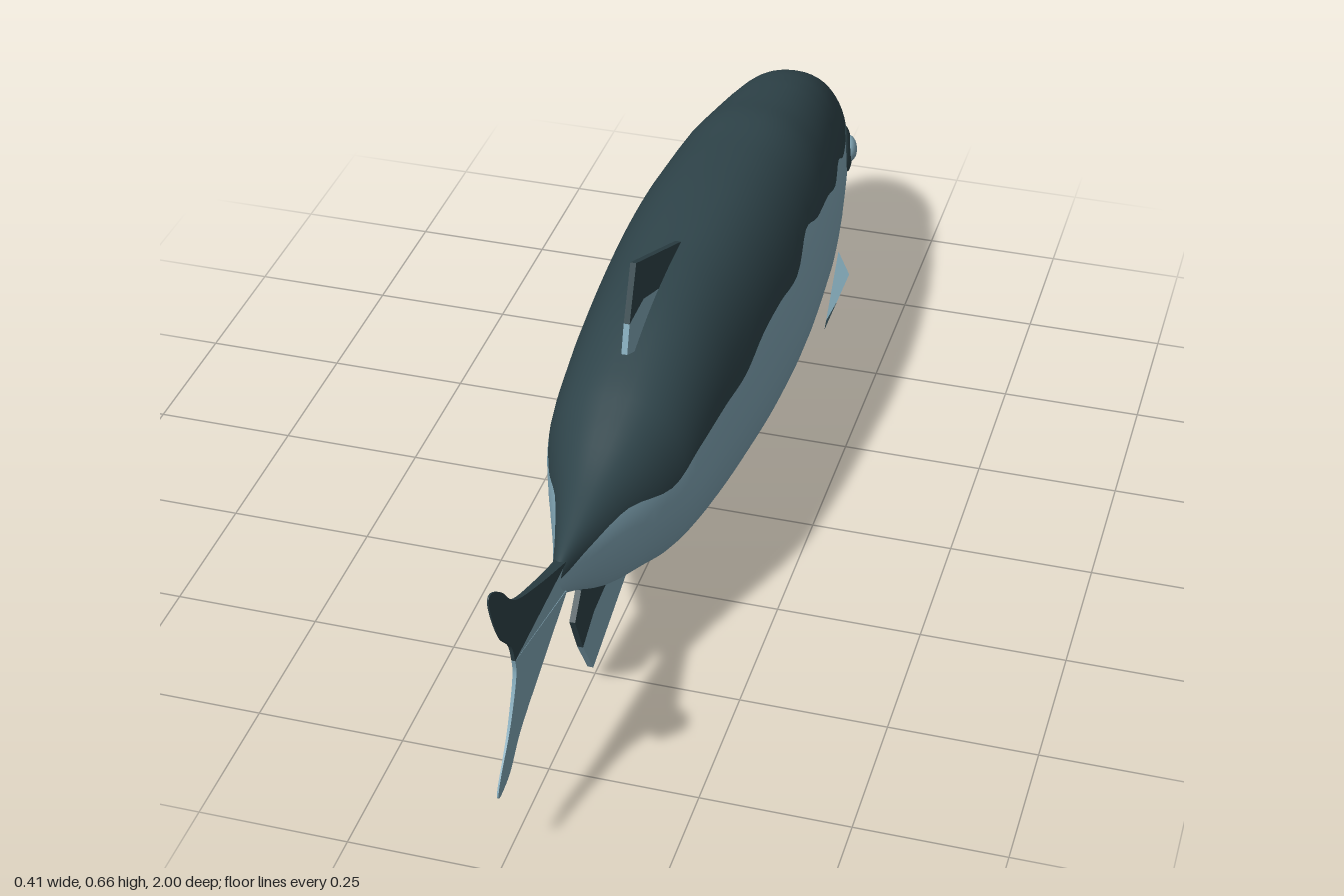
import * as THREE from 'three';

const slate = new THREE.MeshStandardMaterial({ color: 0x2f444a });
slate.name = 'dark slate back';
const silver = new THREE.MeshStandardMaterial({ color: 0x85abbb });
silver.name = 'silver blue belly';
const slateThin = slate.clone();
const silverThin = silver.clone();
slateThin.side = silverThin.side = THREE.DoubleSide;

// Body stations from nose to tail: z, top, bottom, half width, height of colour line
const STATIONS = [
  [-1, 0.25, 0.24, 0, 0.5], [-0.99, 0.29, 0.2, 0.035, 0.5], [-0.965, 0.33, 0.16, 0.062, 0.4],
  [-0.93, 0.365, 0.13, 0.08, 0.347], [-0.85, 0.435, 0.083, 0.103, 0.337], [-0.77, 0.478, 0.055, 0.12, 0.34],
  [-0.7, 0.5, 0.03, 0.132, 0.348], [-0.64, 0.513, 0.014, 0.142, 0.375], [-0.56, 0.528, 0.007, 0.153, 0.368],
  [-0.48, 0.543, 0.004, 0.161, 0.392], [-0.38, 0.549, 0.004, 0.168, 0.405], [-0.3, 0.554, 0.005, 0.172, 0.427],
  [-0.2, 0.558, 0.008, 0.172, 0.392], [-0.1, 0.557, 0.015, 0.168, 0.398], [0, 0.552, 0.028, 0.162, 0.394],
  [0.1, 0.545, 0.042, 0.154, 0.373], [0.2, 0.528, 0.066, 0.146, 0.374], [0.32, 0.49, 0.108, 0.133, 0.365],
  [0.4, 0.457, 0.143, 0.108, 0.338], [0.5, 0.414, 0.188, 0.07, 0.36], [0.6, 0.384, 0.255, 0.034, 0.352],
  [0.67, 0.365, 0.3, 0.013, 0.345], [0.71, 0.345, 0.325, 0.002, 0.345],
];

// Lofted body whose rings follow the wavy colour line
function bodyGeometry() {
  const steps = (STATIONS.length - 1) * 4, upper = 20, lower = 24, n = upper + lower;
  const tracks = [1, 2, 3, 4].map(k => new THREE.SplineCurve(STATIONS.map(s => new THREE.Vector2(s[0], s[k]))));
  const pos = [], dark = [], light = [];
  for (let i = 0; i <= steps; i++) {
    const p = tracks.map(t => t.getPoint(i / steps));
    const [top, bottom, width, line] = p.map(v => v.y);
    const mid = (top + bottom) / 2, h = (top - bottom) / 2;
    const rise = THREE.MathUtils.clamp((line - mid) / h, 0, 1);
    const a0 = Math.asin(Math.pow(rise, 1.15));
    for (let j = 0; j < n; j++) {
      const a = j < upper
        ? a0 + (Math.PI - 2 * a0) * j / upper
        : Math.PI - a0 + (Math.PI + 2 * a0) * (j - upper) / lower;
      const c = Math.cos(a), s = Math.sin(a), e = s > 0 ? 1 / 1.15 : 1 / 0.92;
      pos.push(Math.max(width, 0) * Math.sign(c) * Math.abs(c) ** e, mid + h * Math.sign(s) * Math.abs(s) ** e, p[0].x);
    }
  }
  for (let i = 0; i < steps; i++) {
    for (let j = 0; j < n; j++) {
      const a = i * n + j, b = i * n + (j + 1) % n;
      (j < upper ? dark : light).push(a, b, a + n, b, b + n, a + n);
    }
  }
  const g = new THREE.BufferGeometry();
  g.setAttribute('position', new THREE.Float32BufferAttribute(pos, 3));
  g.setIndex([...dark, ...light]);
  g.addGroup(0, dark.length, 0);
  g.addGroup(dark.length, light.length, 1);
  g.computeVertexNormals();
  return g;
}

// Thin upright fin from a (z, y) outline, tapering towards z = thinAt
function fin(name, points, material, { smooth = false, thick = 0.01, thinAt = 1.2 } = {}) {
  const v = points.map(p => new THREE.Vector2(...p));
  const shape = new THREE.Shape();
  if (smooth) shape.moveTo(v[0].x, v[0].y).splineThru(v.slice(1));
  else shape.setFromPoints(v);
  const g = new THREE.ExtrudeGeometry(shape, { depth: thick, bevelEnabled: false, curveSegments: 30 });
  g.translate(0, 0, -thick / 2).rotateY(-Math.PI / 2);
  const p = g.attributes.position;
  for (let i = 0; i < p.count; i++) {
    p.setX(i, p.getX(i) * THREE.MathUtils.clamp((thinAt - p.getZ(i)) / 0.35, 0.15, 1));
  }
  g.computeVertexNormals();
  const mesh = new THREE.Mesh(g, material);
  mesh.name = name;
  return mesh;
}

// Flat sheet fanned from its first corner
function sheet(name, corners, material) {
  const g = new THREE.BufferGeometry().setFromPoints(corners);
  const idx = [];
  for (let i = 1; i < corners.length - 1; i++) idx.push(0, i, i + 1);
  g.setIndex(idx);
  g.computeVertexNormals();
  const mesh = new THREE.Mesh(g, material);
  mesh.name = name;
  return mesh;
}

export function createModel() {
  const fish = new THREE.Group();
  fish.name = 'fish';

  const body = new THREE.Mesh(bodyGeometry(), [slate, silver]);
  body.name = 'body';
  fish.add(body);

  // Forked tail, split at the colour line
  const tail = { smooth: true, thick: 0.018, thinAt: 1.02 };
  fish.add(
    fin('upperTailLobe', [[0.66, 0.36], [0.78, 0.405], [0.89, 0.455], [0.945, 0.51], [0.985, 0.538], [1, 0.532],
      [0.985, 0.485], [0.955, 0.43], [0.915, 0.385], [0.9, 0.345]], slate, tail),
    fin('lowerTailLobe', [[0.9, 0.345], [0.897, 0.32], [0.908, 0.285], [0.937, 0.23], [0.985, 0.17], [0.988, 0.146],
      [0.94, 0.155], [0.885, 0.2], [0.78, 0.25], [0.66, 0.305]], silver, tail),
    fin('tailRoot', [[0.66, 0.305], [0.66, 0.36], [0.9, 0.345]], silver, { thick: 0.016, thinAt: 1.02 }),
  );

  // Back fin and belly fin, each in two colours
  fish.add(
    fin('backFin', [[-0.02, 0.545], [0.26, 0.668], [0.3, 0.575], [0.22, 0.575], [0.13, 0.54], [0.1, 0.5]], slate),
    fin('backFinBase', [[0.315, 0.525], [0.3, 0.575], [0.22, 0.575], [0.13, 0.54], [0.1, 0.5], [0.24, 0.49]], silver),
    fin('bellyFinBase', [[0.615, 0.2], [0.577, 0.12], [0.515, 0.148], [0.44, 0.155], [0.4, 0.22], [0.58, 0.24]], slate),
    fin('bellyFin', [[0.577, 0.12], [0.525, 0.037], [0.3, 0.1], [0.25, 0.13], [0.4, 0.22], [0.44, 0.155],
      [0.515, 0.148]], silver),
  );

  for (const side of [1, -1]) {
    const label = side > 0 ? 'left' : 'right';

    // Side fin with a dark rear corner
    const root = new THREE.Vector3(side * 0.142, 0.187, -0.62);
    const tip = new THREE.Vector3(side * 0.206, 0.262, -0.43);
    const rear = new THREE.Vector3(side * 0.172, 0.16, -0.388);
    const m = tip.clone().lerp(rear, 0.48), k = rear.clone().lerp(root, 0.11);
    fish.add(
      sheet(label + 'SideFin', [root, tip, m, k], silverThin),
      sheet(label + 'SideFinCorner', [m, rear, k], slateThin),
    );

    // Eye on its dark patch
    const eye = new THREE.Group();
    eye.name = label + 'Eye';
    const patch = new THREE.Mesh(new THREE.SphereGeometry(1, 24, 16), slate);
    patch.name = 'eyePatch';
    patch.scale.set(0.012, 0.045, 0.045);
    const ball = new THREE.Mesh(new THREE.SphereGeometry(1, 20, 14), silver);
    ball.name = 'eyeball';
    ball.scale.set(0.018, 0.027, 0.027);
    ball.position.x = side * 0.004;
    eye.add(patch, ball);
    eye.position.set(side * 0.108, 0.305, -0.807);
    eye.rotation.set(0, side * 0.22, side * 0.1);
    fish.add(eye);
  }
  return fish;
}
